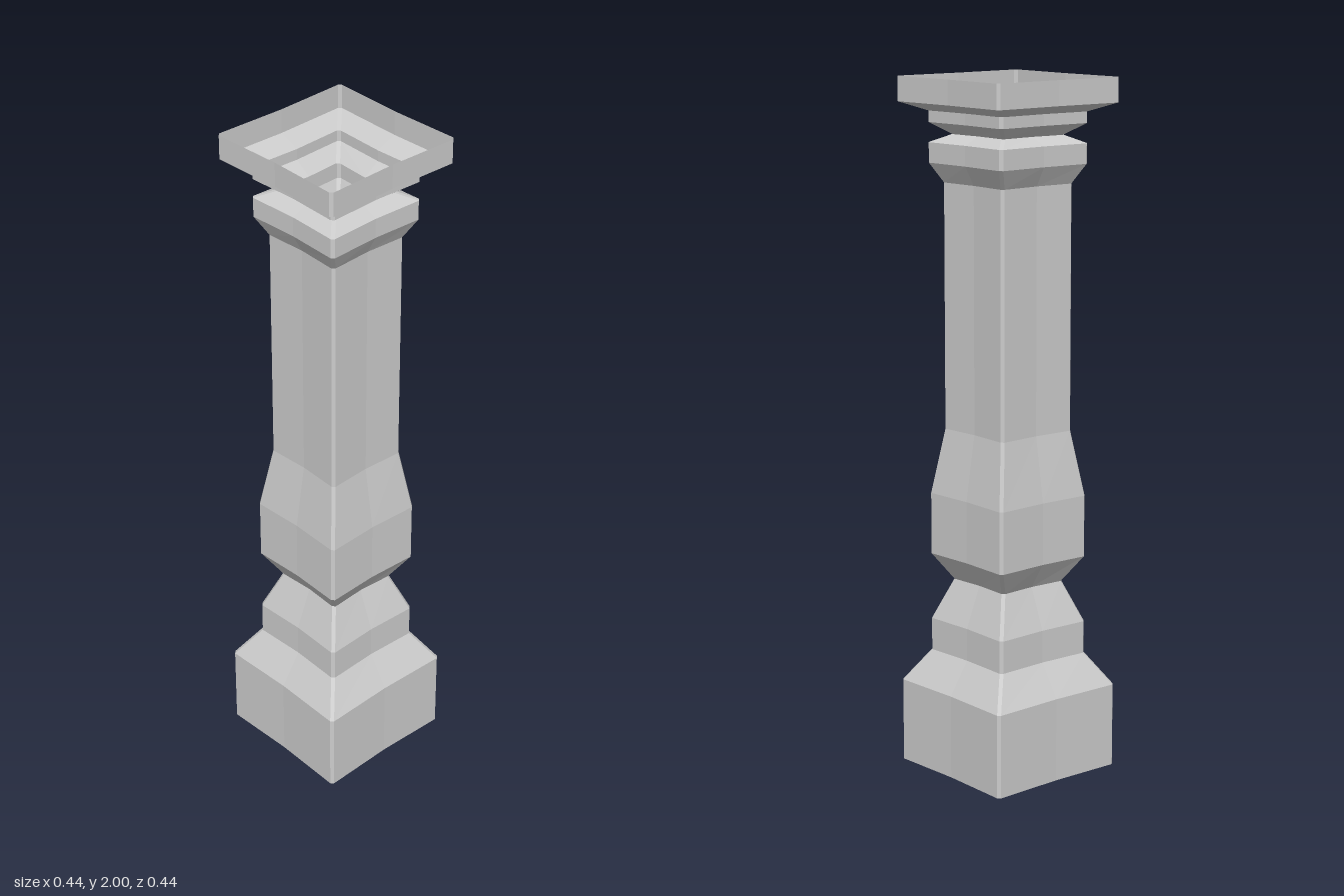
import * as THREE from 'three';

// Profile from foot to cap: [height, half width]
const PROFILE = [
  [0, 0.221], [0.245, 0.221], [0.34, 0.16], [0.435, 0.16], [0.555, 0.113],
  [0.63, 0.16], [0.81, 0.16], [1.0, 0.13], [1.705, 0.13], [1.76, 0.16],
  [1.817, 0.16], [1.84, 0.113], [1.873, 0.16], [1.905, 0.16], [1.93, 0.221], [2, 0.221],
];
const CHAMFER = 0.008;
const DIP = 0.0065; // each side bows inward at its middle

// Square ring with chamfered corners and slightly hollow sides, counter-clockwise from above
function ring(y, r) {
  const side = [[r, r - CHAMFER], [r - DIP, 0], [r, -(r - CHAMFER)]];
  const points = [];
  for (let k = 0; k < 4; k++) {
    const turn = new THREE.Matrix4().makeRotationY((k * Math.PI) / 2);
    for (const [x, z] of side) points.push(new THREE.Vector3(x, y, z).applyMatrix4(turn));
  }
  return points;
}

// Skin the rings into an open tube
function loft(rings) {
  const n = rings[0].length;
  const index = [];
  for (let j = 0; j < rings.length - 1; j++) {
    for (let i = 0; i < n; i++) {
      const a = j * n + i, b = j * n + ((i + 1) % n);
      index.push(a, b, b + n, a, b + n, a + n);
    }
  }
  const indexed = new THREE.BufferGeometry().setFromPoints(rings.flat());
  indexed.setIndex(index);
  const geometry = indexed.toNonIndexed();
  geometry.computeVertexNormals();
  return geometry;
}

export function createModel() {
  const group = new THREE.Group();
  group.name = 'baluster';
  const material = new THREE.MeshStandardMaterial({
    color: 0xcccccc, flatShading: true, side: THREE.DoubleSide,
  });

  // Parts as spans of the profile, sharing their end rings
  const parts = [['base', 0, 4], ['vase', 4, 7], ['shaft', 7, 8], ['collar', 8, 11], ['cap', 11, 15]];
  for (const [name, from, to] of parts) {
    const rings = PROFILE.slice(from, to + 1).map(([y, r]) => ring(y, r));
    const mesh = new THREE.Mesh(loft(rings), material);
    mesh.name = name;
    group.add(mesh);
  }
  return group;
}
